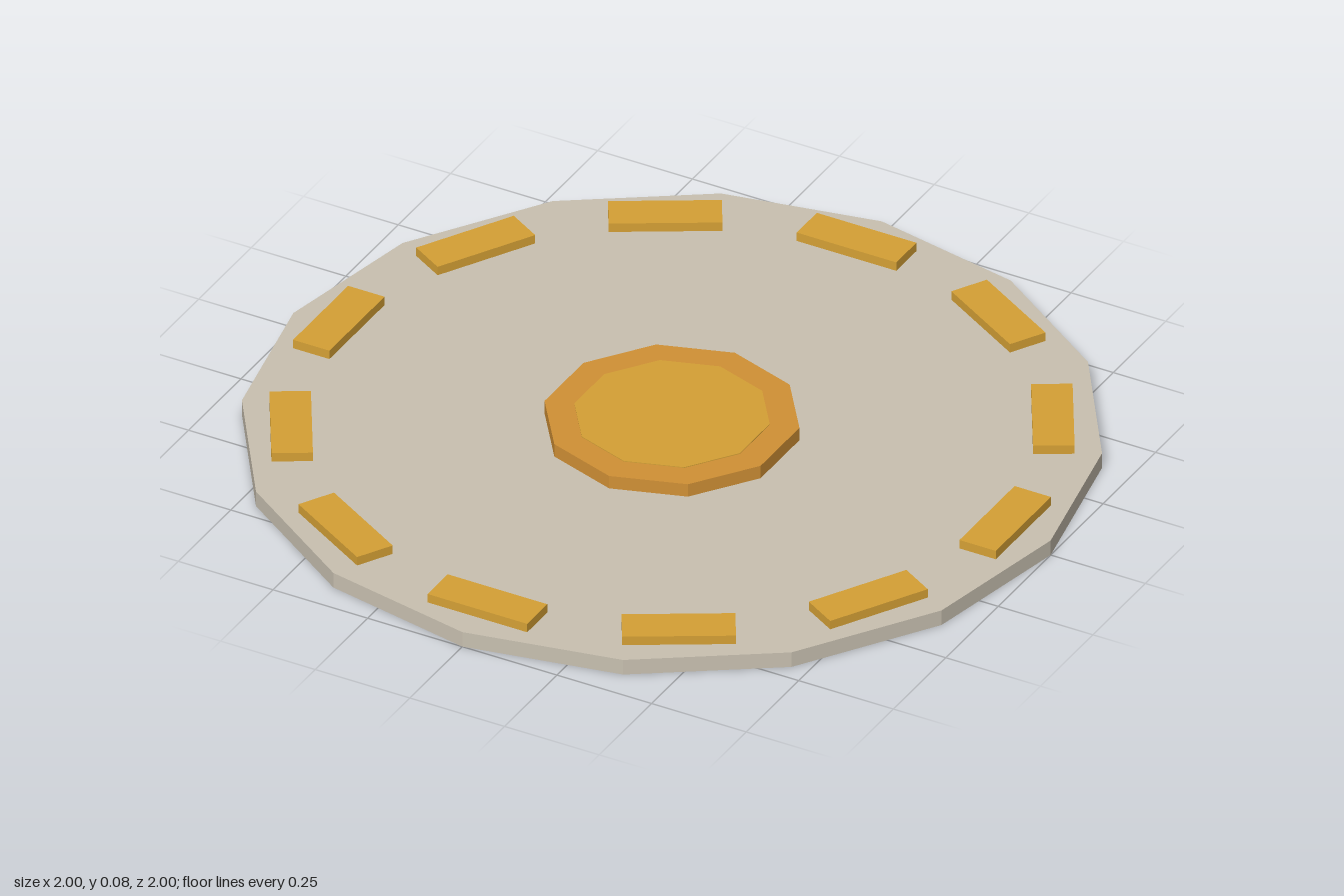
import * as THREE from 'three';

export function createModel() {
  const group = new THREE.Group();
  const stone = new THREE.MeshStandardMaterial({ color: 0xc8c0b0, flatShading: true });
  stone.name = 'stone';
  const gold = new THREE.MeshStandardMaterial({ color: 0xd4a035, flatShading: true });
  gold.name = 'gold';
  const amber = new THREE.MeshStandardMaterial({ color: 0xd09035, flatShading: true });
  amber.name = 'amber';

  // Upright prism with its underside at the given height
  function disc(name, radius, bottom, height, sides, material) {
    const mesh = new THREE.Mesh(new THREE.CylinderGeometry(radius, radius, height, sides), material);
    mesh.name = name;
    mesh.position.y = bottom + height / 2;
    group.add(mesh);
  }

  disc('basePlate', 1, 0, 0.04, 16, stone);
  disc('hub', 0.3, 0.04, 0.034, 10, amber);
  disc('hubInlay', 0.23, 0.074, 0.002, 10, gold);

  // Ring of twelve raised markers
  const markerGeometry = new THREE.BoxGeometry(0.263, 0.023, 0.096);
  for (let i = 0; i < 12; i++) {
    const angle = (i / 12) * Math.PI * 2;
    const marker = new THREE.Mesh(markerGeometry, gold);
    marker.name = `marker${i + 1}`;
    marker.position.set(Math.sin(angle) * 0.88, 0.0515, Math.cos(angle) * 0.88);
    marker.rotation.y = angle;
    group.add(marker);
  }
  return group;
}
